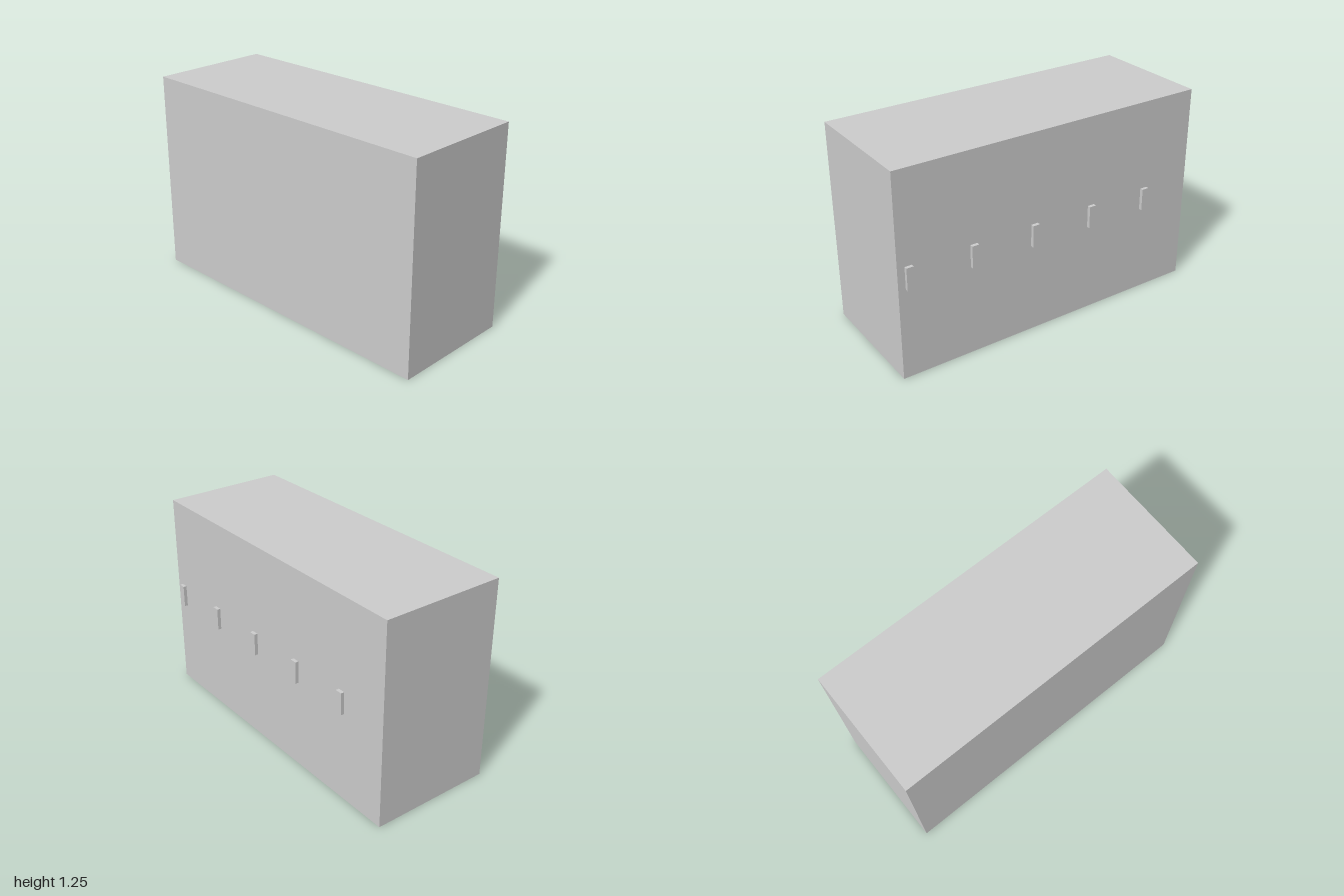
import * as THREE from 'three';

export function createModel() {
  const model = new THREE.Group();
  model.name = 'cabinet';
  const material = new THREE.MeshStandardMaterial({ color: 0xcccccc });

  // Box spanning the given ranges on each axis
  const addBox = (name, [x0, x1], [y0, y1], [z0, z1]) => {
    const mesh = new THREE.Mesh(new THREE.BoxGeometry(x1 - x0, y1 - y0, z1 - z0), material);
    mesh.position.set((x0 + x1) / 2, (y0 + y1) / 2, (z0 + z1) / 2);
    mesh.name = name;
    model.add(mesh);
  };

  // Plain cabinet body
  addBox('cabinetBody', [-0.392, 0.371], [0, 1.253], [-1, 1]);

  // Row of evenly spaced upright handles along the +x side
  for (let i = 0; i < 5; i++) {
    const z = 0.934 - i * 0.4;
    addBox(`handle${i + 1}`, [0.371, 0.392], [0.56, 0.697], [z - 0.022, z + 0.022]);
  }

  return model;
}
